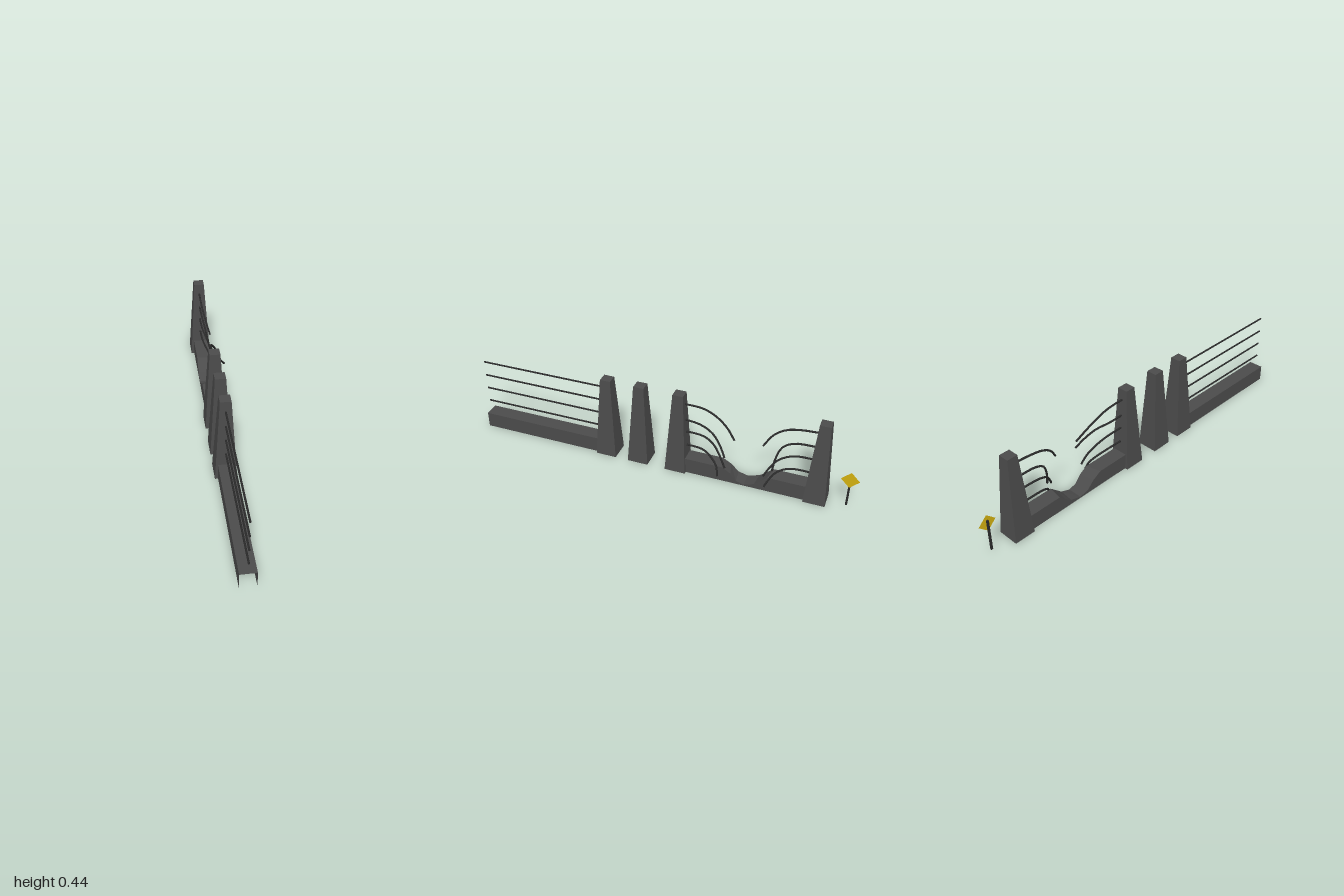
import * as THREE from 'three';

const CX = -0.0185; // centre line of the barrier

function material(name, hex, side = THREE.FrontSide) {
  const m = new THREE.MeshStandardMaterial({ color: hex, side, flatShading: true });
  m.name = name;
  return m;
}

// Hollow channel (two sides and a top) through stations [z, height, skew]
function channelGeometry(stations, halfWidth) {
  const rings = stations.map(([z, h, skew = 0]) => [
    [-halfWidth, 0, z], [-halfWidth, h, z + skew], [halfWidth, h, z - skew], [halfWidth, 0, z],
  ]);
  const pos = [];
  for (let i = 0; i < rings.length - 1; i++) {
    for (let j = 0; j < 3; j++) {
      const a = rings[i][j], b = rings[i][j + 1], c = rings[i + 1][j + 1], d = rings[i + 1][j];
      pos.push(...a, ...b, ...c, ...a, ...c, ...d);
    }
  }
  const g = new THREE.BufferGeometry();
  g.setAttribute('position', new THREE.Float32BufferAttribute(pos, 3));
  g.computeVertexNormals();
  return g;
}

export function createModel() {
  const model = new THREE.Group();
  model.name = 'brokenRoadBarrier';
  const concrete = material('darkConcrete', 0x4b4b4b, THREE.DoubleSide);
  const wire = material('blackWire', 0x2a2a2a);
  const yellow = material('signYellow', 0xd2b010, THREE.DoubleSide);

  const add = (name, geometry, mat, x = 0, y = 0, z = 0, parent = model) => {
    const mesh = new THREE.Mesh(geometry, mat);
    mesh.name = name;
    mesh.position.set(x, y, z);
    parent.add(mesh);
    return mesh;
  };

  // Tapered square posts, open underneath
  const H = 0.44, baseHalf = 0.0545, topHalf = 0.027;
  const shaft = new THREE.CylinderGeometry(topHalf * Math.SQRT2, baseHalf * Math.SQRT2, H, 4, 1, true)
    .rotateY(Math.PI / 4);
  const cap = new THREE.PlaneGeometry(topHalf * 2, topHalf * 2).rotateX(-Math.PI / 2);
  for (const z of [0.287, 0.109, -0.095, -0.807]) {
    const post = new THREE.Group();
    post.name = 'post';
    post.position.set(CX, 0, z);
    add('postShaft', shaft, concrete, 0, H / 2, 0, post);
    add('postCap', cap, concrete, 0, H, 0, post);
    model.add(post);
  }

  // Low walls: one intact, one crushed in the middle
  const wallH = 0.083;
  add('intactWall', channelGeometry([[1, wallH], [0.287, wallH]], 0.039), concrete, CX);
  add('crushedWall', channelGeometry([
    [-0.095, wallH], [-0.33, wallH, 0.01], [-0.375, 0.056, 0.008], [-0.41, 0.018, 0.004], [-0.455, 0.006],
    [-0.51, 0.025, -0.004], [-0.543, 0.053, -0.006], [-0.575, wallH, -0.006], [-0.807, wallH],
  ], 0.039), concrete, CX);

  // Straight wires
  for (const y of [0.385, 0.305, 0.225, 0.145]) {
    add('straightWire', new THREE.CylinderGeometry(0.0045, 0.0045, 0.713, 8).rotateX(Math.PI / 2),
      wire, CX, y, 0.6435);
  }

  // Snapped wires, as [x, y, z] points from the post to the loose end
  const snapped = [
    [[CX, 0.385, -0.1], [CX, 0.38, -0.22], [-0.012, 0.353, -0.29], [0.002, 0.31, -0.35], [0.022, 0.262, -0.393]],
    [[CX, 0.297, -0.1], [-0.012, 0.289, -0.205], [0.012, 0.273, -0.275], [0.038, 0.235, -0.323], [0.067, 0.182, -0.361]],
    [[CX, 0.225, -0.1], [-0.015, 0.22, -0.23], [0, 0.193, -0.286], [0.024, 0.144, -0.329], [0.037, 0.096, -0.356]],
    [[CX, 0.145, -0.1], [-0.012, 0.14, -0.23], [0.012, 0.112, -0.286], [0.03, 0.085, -0.313], [0.047, 0.043, -0.323]],
    [[CX, 0.383, -0.8], [CX, 0.374, -0.687], [-0.015, 0.358, -0.623], [-0.005, 0.321, -0.57], [0.012, 0.262, -0.532]],
    [[CX, 0.3, -0.8], [-0.016, 0.292, -0.67], [-0.008, 0.262, -0.62], [0.004, 0.2, -0.596], [0.018, 0.13, -0.587]],
    [[CX, 0.225, -0.8], [-0.016, 0.219, -0.676], [0, 0.19, -0.61], [0.02, 0.145, -0.573], [0.036, 0.1, -0.55]],
    [[CX, 0.145, -0.8], [-0.014, 0.14, -0.66], [0.005, 0.112, -0.602], [0.025, 0.08, -0.578], [0.044, 0.043, -0.56]],
  ];
  for (const points of snapped) {
    const curve = new THREE.CatmullRomCurve3(points.map((p) => new THREE.Vector3(...p)));
    add('snappedWire', new THREE.TubeGeometry(curve, 12, 0.005, 8), wire);
    // close the loose end
    const end = add('wireTip', new THREE.CircleGeometry(0.005, 8), wire, ...points.at(-1));
    end.lookAt(end.position.clone().add(curve.getTangent(1)));
  }

  // Diamond warning sign on a thin pole
  add('signPole', new THREE.BoxGeometry(0.008, 0.17, 0.01), wire, CX - 0.002, 0.085, -0.955);
  const diamond = new THREE.PlaneGeometry(0.0636, 0.0636).rotateZ(Math.PI / 4).rotateY(Math.PI / 2);
  add('signPlate', diamond, yellow, CX + 0.003, 0.153, -0.955);

  return model;
}
